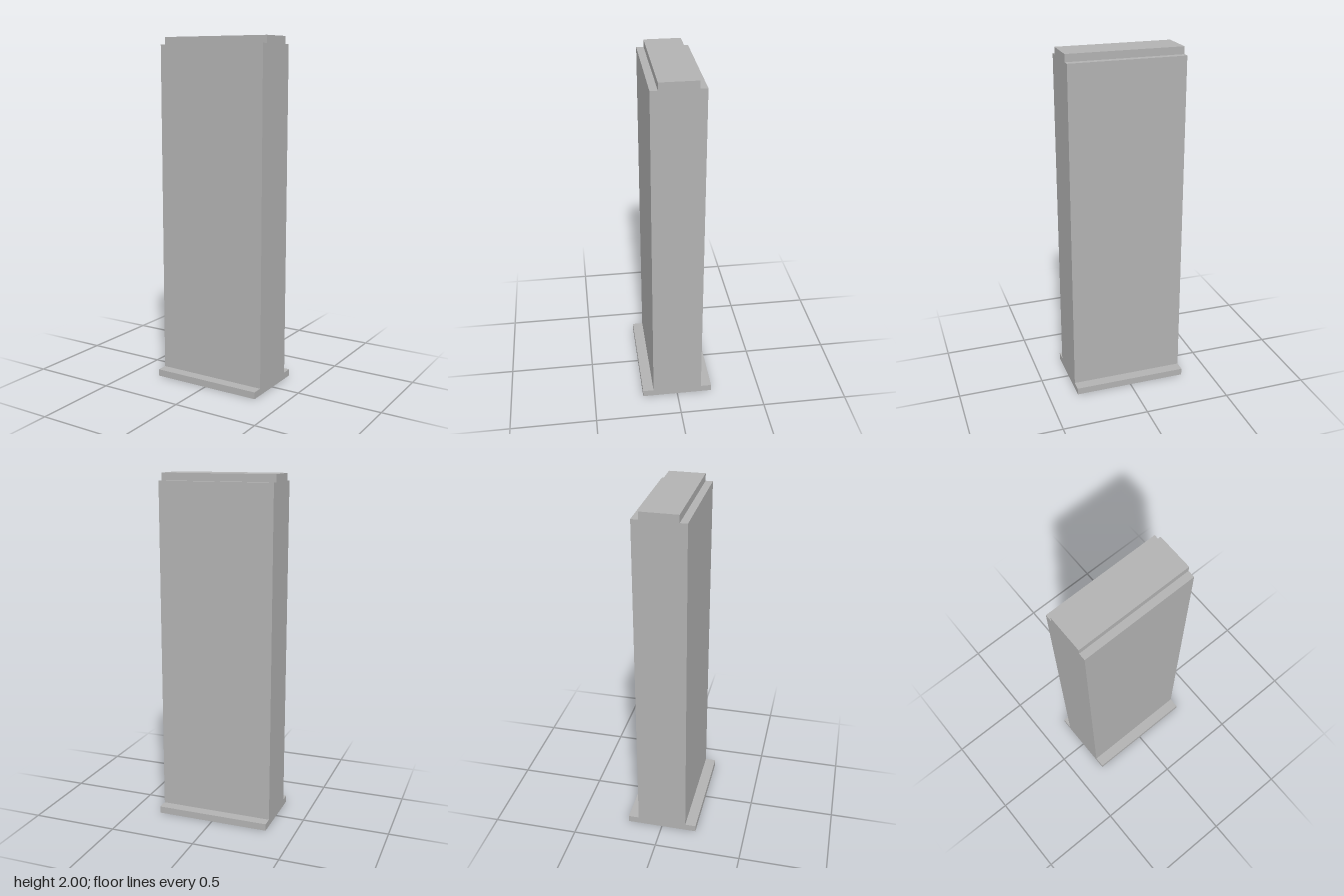
import * as THREE from 'three';

export function createModel() {
  const group = new THREE.Group();
  group.name = 'steppedPanel';
  const grey = new THREE.MeshStandardMaterial({ color: 0xb2b2b2 });
  grey.name = 'grey';

  // Half of the end profile: foot flange, slab, narrow top tongue
  const half = [[0.208, 0], [0.208, 0.04], [0.145, 0.04], [0.145, 1.958], [0.104, 1.958], [0.104, 2]];
  const mirrored = half.map(([z, y]) => [-z, y]).reverse();
  const profile = new THREE.Shape([...half, ...mirrored].map(([z, y]) => new THREE.Vector2(z, y)));

  // Sweep the profile across the width
  const width = 0.664;
  const geometry = new THREE.ExtrudeGeometry(profile, { depth: width, bevelEnabled: false });
  geometry.translate(0, 0, -width / 2);
  geometry.rotateY(Math.PI / 2);

  const panel = new THREE.Mesh(geometry, grey);
  panel.name = 'panel';
  group.add(panel);
  return group;
}
